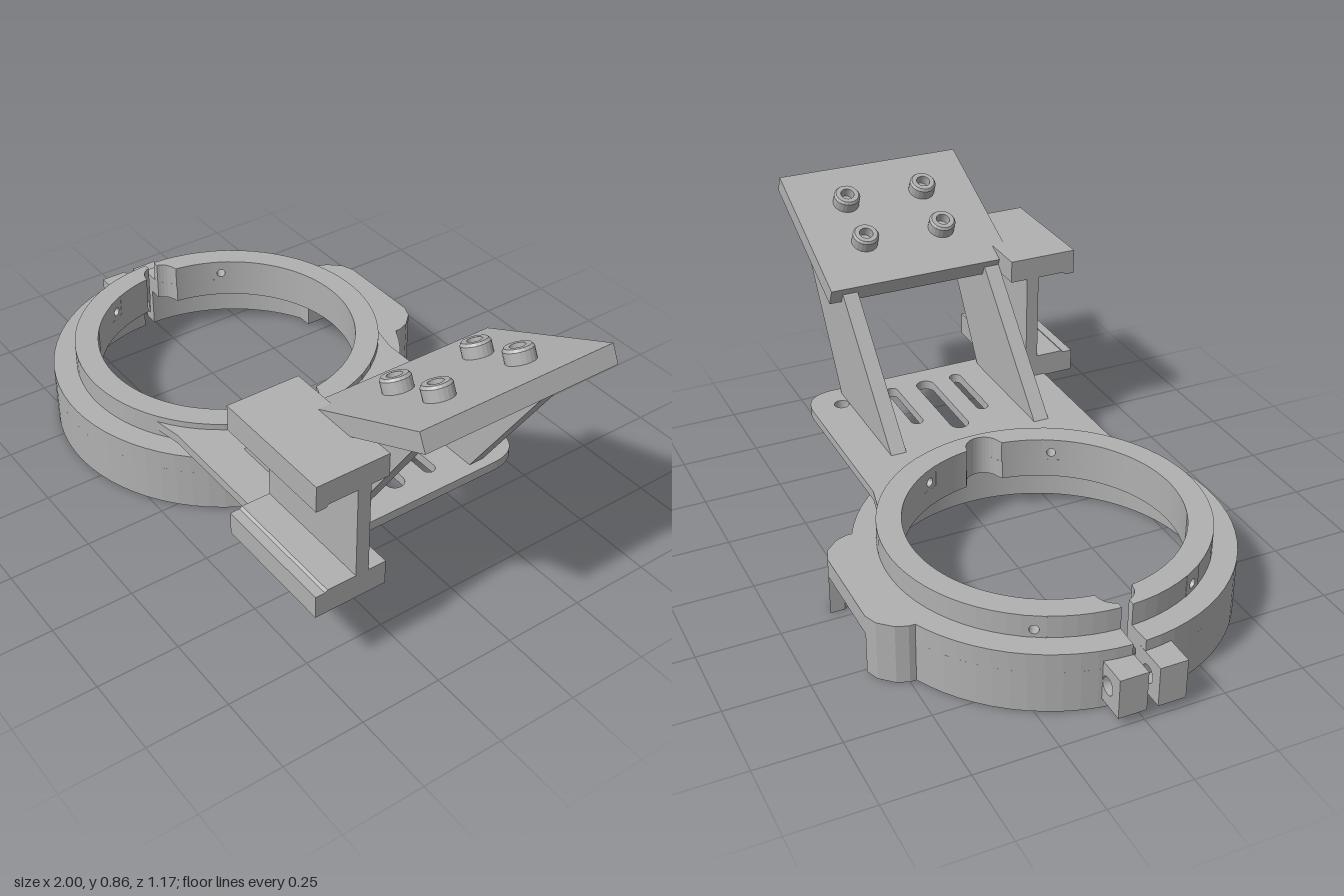
import * as THREE from 'three';

const CX = -0.364, CZ = 0.022; // ring axis
const R_IN = 0.41, R_MID = 0.484, R_OUT = 0.556;
const DEG = Math.PI / 180;

export function createModel() {
  const model = new THREE.Group();
  const grey = new THREE.MeshStandardMaterial({ color: 0xb0b0b0 });
  grey.name = 'grey';

  const add = (geo, name) => {
    const mesh = new THREE.Mesh(geo, grey);
    mesh.name = name;
    model.add(mesh);
    return mesh;
  };
  const poly = pts => new THREE.Shape(pts.map(p => new THREE.Vector2(p[0], p[1])));
  const extrude = (shape, depth) =>
    new THREE.ExtrudeGeometry(shape, { depth, bevelEnabled: false, curveSegments: 16 });
  // Plan outline in (x, z), standing between y0 and y1
  const slab = (shape, y0, y1, name) =>
    add(extrude(shape, y1 - y0).rotateX(Math.PI / 2).translate(0, y1, 0), name);
  // Side profile in (x, y), running from z0 to z1
  const profile = (shape, z0, z1, name) => add(extrude(shape, z1 - z0).translate(0, 0, z0), name);
  const circleHole = (x, y, r) => {
    const p = new THREE.Path();
    p.absarc(x, y, r, 0, Math.PI * 2, true);
    return p;
  };

  // Inner bore radius, with a round notch on each side along x
  const bore = a => {
    const s = R_IN * Math.sin(a), n = 0.055;
    return Math.abs(s) < n ? R_IN * Math.abs(Math.cos(a)) + Math.sqrt(n * n - s * s) : R_IN;
  };
  const arcBand = (rIn, rOut, a0, a1, y0, y1, name) => {
    const at = (r, a) => [CX + r * Math.cos(a), CZ + r * Math.sin(a)];
    const outer = [], inner = [];
    const n = Math.max(2, Math.ceil((a1 - a0) / (5 * DEG)));
    for (let i = 0; i <= n; i++) outer.push(at(rOut, a0 + (a1 - a0) * i / n));
    const m = n * 4;
    for (let i = m; i >= 0; i--) {
      const a = a0 + (a1 - a0) * i / m;
      inner.push(at(rIn(a), a));
    }
    slab(poly([...outer, ...inner]), y0, y1, name);
  };

  // Clamp ring: outer wall, ledge and upper collar, split at the left
  const gap = 2 * DEG, half = 180 * DEG;
  arcBand(() => 0.508, R_OUT, -65 * DEG, half - gap, 0, 0.13, 'lowerWall');
  arcBand(() => 0.508, R_OUT, -half + gap, -115 * DEG, 0, 0.13, 'lowerWall');
  arcBand(bore, R_OUT, -half + gap, half - gap, 0.13, 0.19, 'ledge');

  const holes = [-150, -30, 30, 150], w = 4; // radial screw holes in the collar
  const stops = [-180 + 2, ...holes.flatMap(h => [h - w, h + w]), 180 - 2];
  for (let i = 0; i < stops.length; i += 2)
    arcBand(bore, R_MID, stops[i] * DEG, stops[i + 1] * DEG, 0.19, 0.26, 'collar');
  for (const h of holes) {
    const hw = R_MID * Math.sin(w * DEG);
    const s = poly([[-hw, 0.19], [hw, 0.19], [hw, 0.26], [-hw, 0.26]]);
    s.holes.push(circleHole(0, 0.215, 0.014));
    const block = add(extrude(s, R_MID - R_IN).translate(0, 0, R_IN), 'collarScrewHole');
    block.rotation.y = (90 - h) * DEG;
    block.position.set(CX, 0, CZ);
  }

  // Rear lug: bridge plate with an open doorway between two legs
  const corner = [[-0.235, -0.43], [-0.235, -0.5], [-0.222, -0.535], [-0.185, -0.575], [-0.145, -0.59]];
  const flip = pts => pts.map(([x, z]) => [-x, z]).reverse();
  const move = pts => pts.map(([x, z]) => [x - 0.365, z]);
  slab(poly(move([...corner, ...flip(corner)])), 0.13, 0.19, 'rearLugTop');
  const leg = [...corner, [-0.145, -0.545], [-0.185, -0.5], [-0.185, -0.43]];
  for (const pts of [leg, flip(leg)]) slab(poly(move(pts)), 0, 0.13, 'rearLugLeg');

  // Clamp ears with bolt holes
  for (const [z0, z1] of [[-0.08, 0.006], [0.04, 0.125]]) {
    const ear = poly([[-1, 0.03], [-0.895, 0.03], [-0.895, 0.155], [-1, 0.155]]);
    ear.holes.push(circleHole(-0.938, 0.093, 0.027));
    profile(ear, z0, z1, 'clampEar');
  }

  // Arm plate with slots and corner holes, hugging the collar
  const arm = new THREE.Shape();
  arm.moveTo(-0.11, -0.39);
  arm.lineTo(-0.02, -0.37);
  arm.lineTo(0.5, -0.37);
  arm.quadraticCurveTo(0.61, -0.37, 0.61, -0.26);
  arm.lineTo(0.61, 0.31);
  arm.quadraticCurveTo(0.61, 0.42, 0.5, 0.42);
  arm.lineTo(-0.02, 0.42);
  arm.lineTo(-0.11, 0.435);
  for (let a = 58; a >= -58; a -= 4)
    arm.lineTo(CX + 0.475 * Math.cos(a * DEG), CZ + 0.475 * Math.sin(a * DEG));
  for (const [x0, x1, z, r] of [[0.29, 0.54, -0.09, 0.02], [0.21, 0.54, 0.026, 0.03], [0.29, 0.54, 0.138, 0.02]]) {
    const slot = new THREE.Path();
    slot.absarc(x0 + r, z, r, Math.PI / 2, Math.PI * 1.5, false);
    slot.absarc(x1 - r, z, r, -Math.PI / 2, Math.PI / 2, false);
    arm.holes.push(slot);
  }
  for (const z of [-0.27, 0.325]) arm.holes.push(circleHole(0.51, z, 0.024));
  slab(arm, 0.21, 0.24, 'armPlate');

  // Slanted gussets
  for (const z of [-0.245, 0.245])
    profile(poly([[0.14, 0.235], [0.575, 0.235], [0.93, 0.785], [0.515, 0.62]]), z, z + 0.05, 'gusset');

  // Tilted mounting plate
  profile(poly([[0.51, 0.645], [0.535, 0.592], [0.995, 0.808], [0.97, 0.86]]), -0.285, 0.337, 'tiltedPlate');

  // Socket-head screws standing on the tilted plate
  const headProfile = [[0.043, -0.005], [0.043, 0.034], [0.037, 0.042], [0.022, 0.042], [0.022, 0.01], [0, 0.01]]
    .map(p => new THREE.Vector2(p[0], p[1]));
  const tilt = Math.atan2(0.215, 0.46);
  for (const x of [0.668, 0.828]) for (const z of [-0.11, 0.157]) {
    const screw = add(new THREE.LatheGeometry(headProfile, 20).toNonIndexed(), 'screwHead');
    screw.geometry.computeVertexNormals();
    screw.position.set(x, 0.645 + (x - 0.51) * 0.467, z);
    screw.rotation.z = tilt;
  }

  // Side bracket: an I-section running along x, outlined in (z, y)
  const beam = poly([
    [0.295, 0.235], [0.52, 0.235], [0.52, 0.306], [0.49, 0.306], [0.482, 0.312], [0.392, 0.312],
    [0.392, 0.6], [0.482, 0.6], [0.49, 0.592], [0.52, 0.592], [0.52, 0.672], [0.295, 0.672],
    [0.295, 0.6], [0.351, 0.6], [0.351, 0.312], [0.295, 0.312],
  ].map(([z, y]) => [-z, y]));
  add(extrude(beam, 0.395).rotateY(Math.PI / 2).translate(0.42, 0, 0), 'sideBracket');

  return model;
}
